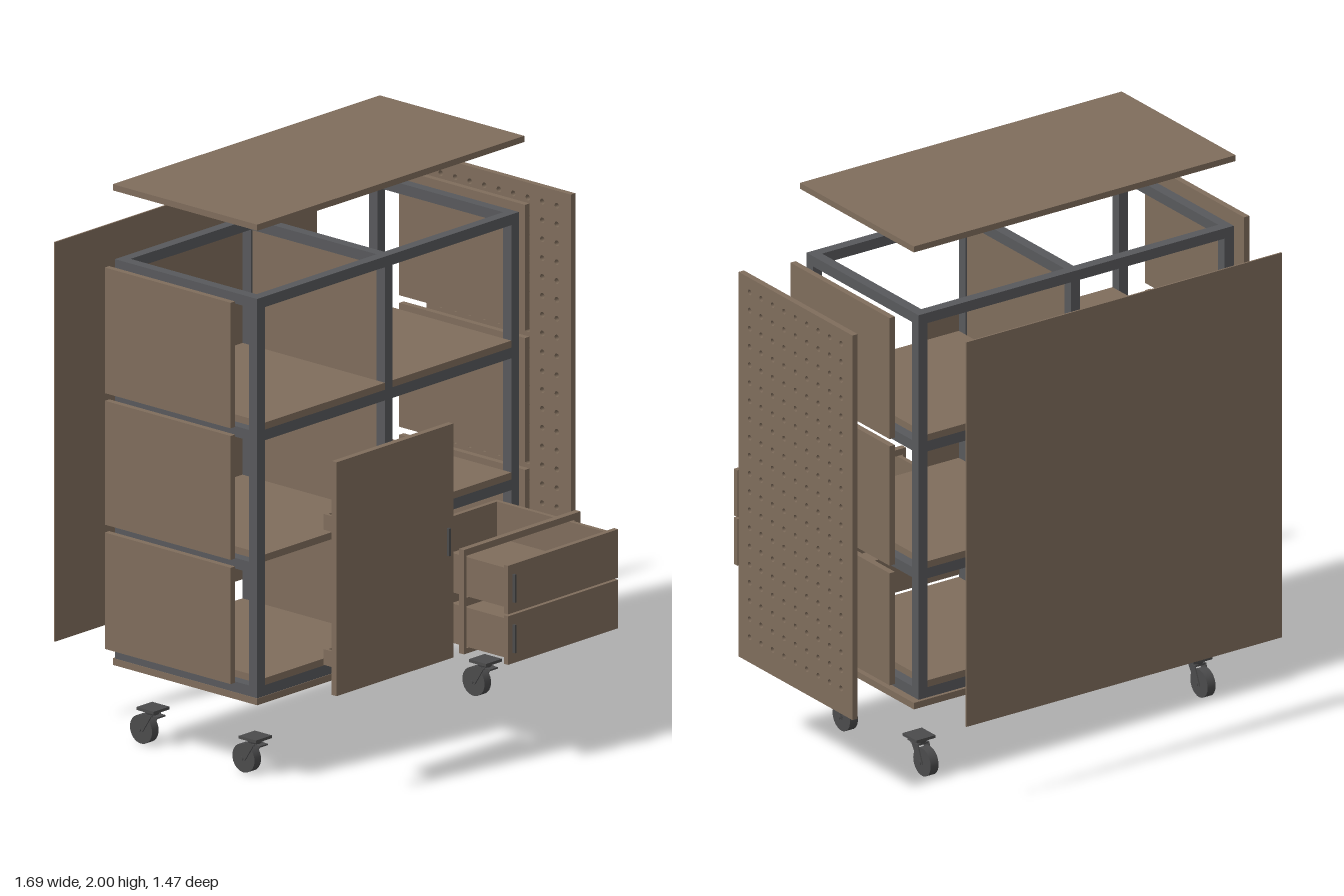
import * as THREE from 'three';

const wood = new THREE.MeshStandardMaterial({ color: 0x7f6d5c });
wood.name = 'brownBoard';
const steel = new THREE.MeshStandardMaterial({ color: 0x58595c });
steel.name = 'greyFrame';
const dark = new THREE.MeshStandardMaterial({ color: 0x4b4b4c });
dark.name = 'darkMetal';

// Box given by its limits on each axis
function box(parent, name, mat, [x0, x1], [y0, y1], [z0, z1]) {
  const m = new THREE.Mesh(new THREE.BoxGeometry(x1 - x0, y1 - y0, z1 - z0), mat);
  m.position.set((x0 + x1) / 2, (y0 + y1) / 2, (z0 + z1) / 2);
  m.name = name;
  parent.add(m);
  return m;
}

function group(parent, name) {
  const g = new THREE.Group();
  g.name = name;
  parent.add(g);
  return g;
}

function rectPath(path, x0, x1, y0, y1) {
  path.moveTo(x0, y0);
  path.lineTo(x1, y0);
  path.lineTo(x1, y1);
  path.lineTo(x0, y1);
  path.closePath();
  return path;
}

// Open-topped tray: base, two sides, front and back
function tray(parent, name, [x0, x1], [y0, y1], [z0, z1], t) {
  const g = group(parent, name);
  box(g, 'trayBase', wood, [x0 + t, x1 - t], [y0, y0 + 0.012], [z0 + t, z1 - t]);
  box(g, 'traySide', wood, [x0, x0 + t], [y0, y1], [z0, z1]);
  box(g, 'traySide', wood, [x1 - t, x1], [y0, y1], [z0, z1]);
  box(g, 'trayEnd', wood, [x0 + t, x1 - t], [y0, y1], [z0, z0 + t]);
  box(g, 'trayEnd', wood, [x0 + t, x1 - t], [y0, y1], [z1 - t, z1]);
  return g;
}

// Swivel caster, wheel trailing behind the plate
function caster(parent, x, z) {
  const g = group(parent, 'caster');
  g.position.set(x, 0, z);
  box(g, 'casterPlate', dark, [-0.04, 0.04], [0.126, 0.136], [0, 0.08]);
  const swivel = new THREE.Mesh(new THREE.CylinderGeometry(0.027, 0.022, 0.016, 20), dark);
  swivel.position.set(0, 0.118, 0.037);
  swivel.name = 'casterSwivel';
  g.add(swivel);
  const fork = new THREE.Shape([[-0.012, 0.045], [0.012, 0.045], [0.055, 0.112], [0.015, 0.112]]
    .map(([a, b]) => new THREE.Vector2(a, b)));
  for (const s of [-1, 1]) {
    const geo = new THREE.ExtrudeGeometry(fork, { depth: 0.005, bevelEnabled: false });
    geo.rotateY(-Math.PI / 2);
    const arm = new THREE.Mesh(geo, dark);
    arm.position.x = s * 0.022 + 0.0025;
    arm.name = 'casterFork';
    g.add(arm);
  }
  box(g, 'forkCrown', dark, [-0.024, 0.024], [0.106, 0.112], [0.015, 0.055]);
  const wheel = new THREE.Mesh(new THREE.CylinderGeometry(0.051, 0.051, 0.033, 32), dark);
  wheel.rotation.z = Math.PI / 2;
  wheel.position.y = 0.051;
  wheel.name = 'casterWheel';
  g.add(wheel);
  const axle = new THREE.Mesh(new THREE.CylinderGeometry(0.007, 0.007, 0.056, 12), dark);
  axle.rotation.z = Math.PI / 2;
  axle.position.y = 0.051;
  axle.name = 'casterAxle';
  g.add(axle);
  box(g, 'brakePedal', dark, [-0.02, 0.02], [0.106, 0.111], [0.05, 0.08]);
}

export function createModel() {
  const model = new THREE.Group();
  model.name = 'explodedCabinet';
  const full = [-0.463, 0.203], frameZ = [-0.453, 0.203], inZ = [-0.415, 0.165];
  const postX = [[-0.753, -0.715], [-0.112, -0.074], [0.523, 0.561]];
  const postZ = [[-0.453, -0.415], [0.165, 0.203]];
  const bays = [[-0.715, -0.112], [-0.074, 0.523]];
  const railY = [[0.311, 0.349], [0.752, 0.79], [1.222, 1.26], [1.697, 1.735]];

  // Steel frame: posts, cross rails and side rails
  const frame = group(model, 'steelFrame');
  for (const x of postX) {
    for (const z of postZ) box(frame, 'post', steel, x, [0.311, 1.735], z);
    for (const y of railY) box(frame, 'sideRail', steel, x, y, inZ);
  }
  bays.forEach((x, bay) => railY.forEach((y, level) => postZ.forEach((z, front) => {
    // The door bay stays open in front at the lower shelf
    if (bay === 0 && level === 1 && front === 1) return;
    box(frame, 'crossRail', steel, x, y, z);
  })));

  // Shelves on the rails, and the divider between the bays
  for (const x of bays)
    for (const y of [0.349, 0.79, 1.26]) box(model, 'shelf', wood, x, [y, y + 0.025], frameZ);
  for (const y of [[0.349, 0.752], [0.79, 1.222], [1.26, 1.697]])
    box(model, 'divider', wood, [-0.104, -0.082], y, inZ);

  // Outer boards lifted away from the frame
  box(model, 'topBoard', wood, [-0.753, 0.588], [1.978, 2], full);
  box(model, 'bottomBoard', wood, [-0.753, 0.588], [0.286, 0.31], full);
  box(model, 'backPanel', wood, [-0.753, 0.563], [0.311, 1.735], [-0.735, -0.729]);
  for (const y of [[0.375, 0.79], [0.818, 1.26], [1.287, 1.735]])
    for (const x of [[-0.845, -0.823], [0.633, 0.655]]) box(model, 'sidePanel', wood, x, y, inZ);

  // Perforated board with a regular grid of round holes
  const peg = rectPath(new THREE.Shape(), -0.203, 0.463, 0.311, 1.735);
  for (let i = 0; i < 9; i++)
    for (let j = 0; j < 20; j++) {
      const hole = new THREE.Path();
      hole.absarc(-0.138 + i * 0.0669, 0.405 + j * 0.0672, 0.01, 0, Math.PI * 2, true);
      peg.holes.push(hole);
    }
  const pegGeo = new THREE.ExtrudeGeometry(peg, { depth: 0.022, bevelEnabled: false, curveSegments: 12 });
  pegGeo.rotateY(Math.PI / 2);
  const pegBoard = new THREE.Mesh(pegGeo, wood);
  pegBoard.position.x = 0.822;
  pegBoard.name = 'pegBoard';
  model.add(pegBoard);

  // Door with handle and inner trays
  const door = group(model, 'door');
  box(door, 'doorPanel', wood, [-0.707, -0.121], [0.378, 1.212], [0.504, 0.527]);
  box(door, 'doorHandle', dark, [-0.153, -0.143], [0.748, 0.846], [0.527, 0.537]);
  for (const y of [0.45, 0.932]) tray(door, 'doorTray', [-0.645, -0.165], [y, y + 0.056], [0.41, 0.504], 0.012);

  // Face frame around the two drawers
  const face = rectPath(new THREE.Shape(), -0.068, 0.517, 0.376, 0.748);
  for (const [y0, y1] of [[0.395, 0.545], [0.575, 0.725]])
    face.holes.push(rectPath(new THREE.Path(), -0.056, 0.488, y0, y1));
  const faceFrame = new THREE.Mesh(new THREE.ExtrudeGeometry(face, { depth: 0.023, bevelEnabled: false }), wood);
  faceFrame.position.z = 0.504;
  faceFrame.name = 'drawerFaceFrame';
  model.add(faceFrame);

  // Drawers pulled out, with upright handles
  for (const y of [0.4, 0.58]) {
    const drawer = tray(model, 'drawer', [-0.054, 0.486], [y, y + 0.14], [0.17, 0.705], 0.016);
    box(drawer, 'drawerFront', wood, [-0.062, 0.492], [y - 0.02, y + 0.153], [0.705, 0.724]);
    box(drawer, 'drawerHandle', dark, [-0.039, -0.031], [y + 0.018, y + 0.118], [0.724, 0.735]);
  }

  // Four casters
  for (const x of [-0.66, 0.495])
    for (const z of [0.069, -0.403]) caster(model, x, z);

  return model;
}
